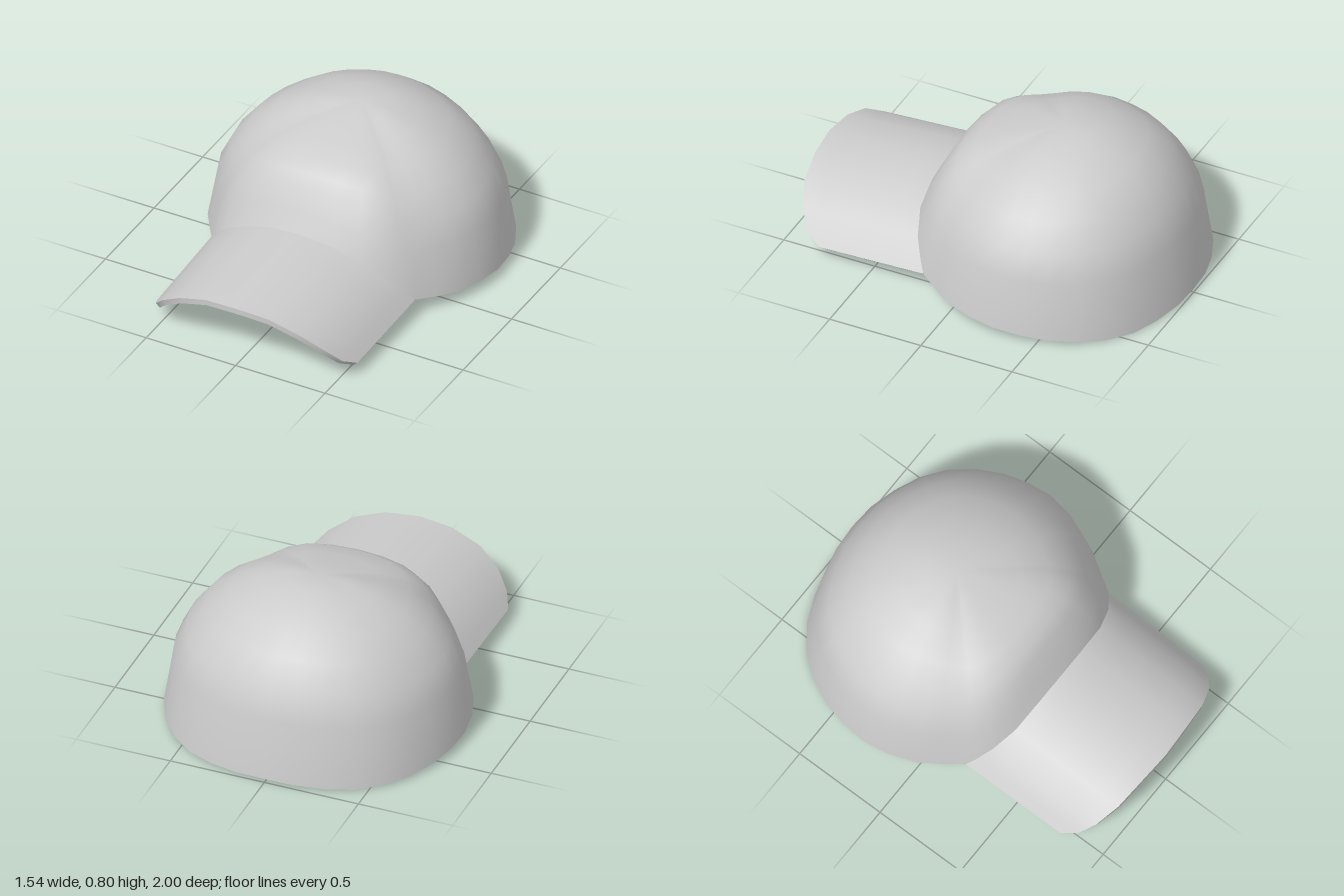
import * as THREE from 'three';
import { mergeVertices, toCreasedNormals } from 'three/addons/utils/BufferGeometryUtils.js';

const CENTRE_Z = -0.3, APEX_Y = 0.798, THICK = 0.03;

// Half of the crown's rim as [x, y, z], from centre front round to centre back.
const RIM = [
  [0, 0.39, 0.35], [0.18, 0.37, 0.345], [0.34, 0.31, 0.33], [0.46, 0.225, 0.285], [0.53, 0.145, 0.235],
  [0.57, 0.095, 0.2], [0.635, 0.075, 0.1], [0.7, 0.065, 0], [0.75, 0.058, -0.14], [0.77, 0.05, -0.28],
  [0.755, 0.037, -0.42], [0.72, 0.025, -0.55], [0.65, 0.013, -0.69], [0.56, 0.005, -0.8], [0.44, 0, -0.89],
  [0.3, 0.005, -0.95], [0.15, 0.015, -0.99], [0, 0.02, -1],
];
const BRIM_COLUMNS = 6; // rim points that carry the brim, on each side
const BRIM_FRONT_Z = [1, 0.988, 0.967, 0.92, 0.86, 0.78];

// Meridians as [radius, height], apex to rim, as fractions of the rim's radius and depth.
const normalise = (points) => {
  const [radius, low] = points[points.length - 1];
  return points.map(([r, y]) => [r / radius, (y - low) / (APEX_Y - low)]);
};
const FRONT = normalise([[0, APEX_Y], [0.15, 0.765], [0.3, 0.727], [0.42, 0.69], [0.49, 0.645], [0.54, 0.59], [0.6, 0.48], [0.65, 0.39]]);
const SIDE = normalise([[0, APEX_Y], [0.155, 0.785], [0.3, 0.75], [0.445, 0.68], [0.565, 0.59], [0.66, 0.47], [0.725, 0.34], [0.77, 0.05]]);
const BACK = normalise([[0, APEX_Y], [0.15, 0.795], [0.26, 0.765], [0.39, 0.707], [0.5, 0.62], [0.59, 0.49], [0.65, 0.34], [0.7, 0.02]]);

// Smooth surface through rows of points; it faces (row direction) x (column direction).
function grid(rows) {
  const cols = rows[0].length, index = [];
  for (let i = 0; i < rows.length - 1; i++) {
    for (let j = 0; j < cols - 1; j++) {
      const a = i * cols + j, b = a + cols, c = b + 1, d = a + 1;
      if (!rows[i][j].equals(rows[i][j + 1])) index.push(a, b, d);
      if (!rows[i + 1][j].equals(rows[i + 1][j + 1])) index.push(b, c, d);
    }
  }
  let geometry = new THREE.BufferGeometry().setFromPoints(rows.flat());
  geometry.setIndex(index);
  geometry = mergeVertices(geometry, 1e-5);
  geometry.computeVertexNormals();
  return geometry;
}

// Rows of the dome from apex to rim; the lining uses a smaller radius and a lower apex.
function domeRows(radiusScale, drop) {
  const mirrored = RIM.slice(1, -1).reverse().map(([x, y, z]) => [-x, y, z]);
  const loop = [...RIM, ...mirrored, RIM[0]];
  return SIDE.map((side, i) => loop.map(([x, y, z]) => {
    const dz = z - CENTRE_Z;
    const weight = dz * dz / (x * x + dz * dz);
    const end = dz > 0 ? FRONT[i] : BACK[i];
    const r = THREE.MathUtils.lerp(side[0], end[0], weight) * radiusScale;
    const h = THREE.MathUtils.lerp(side[1], end[1], weight);
    return new THREE.Vector3(x * r, y + (APEX_Y - drop - y) * h, CENTRE_Z + dz * r);
  }));
}

// Rows of the brim from crown to front edge; offset moves them along the arch's normal.
function brimRows(offset) {
  const half = RIM.slice(0, BRIM_COLUMNS).map(([x, y, z], k) => ({ x, y, z, front: BRIM_FRONT_Z[k] }));
  const columns = [...half.slice(1).reverse().map((p) => ({ ...p, x: -p.x })), ...half];
  const rows = [];
  for (let i = 0; i <= 6; i++) {
    const t = i / 6;
    rows.push(columns.map((p, j) => {
      const a = columns[Math.max(j - 1, 0)], b = columns[Math.min(j + 1, columns.length - 1)];
      const normal = new THREE.Vector2(a.y - b.y, b.x - a.x).normalize();
      const z = THREE.MathUtils.lerp(p.z, p.front, t);
      const slope = 0.077 - 0.03 * Math.abs(p.x) / 0.57;
      return new THREE.Vector3(
        p.x * (1 - 0.015 * t) + normal.x * offset,
        p.y - slope * (z - p.z) + normal.y * offset,
        z,
      );
    }));
  }
  return rows;
}

// Closed outline of the brim: left edge, front, right edge, then back along the crown.
function outline(rows) {
  const last = rows[0].length - 1;
  return [
    ...rows.map((row) => row[0]),
    ...rows[rows.length - 1].slice(1),
    ...rows.slice(0, -1).reverse().map((row) => row[last]),
    ...rows[0].slice(0, -1).reverse(),
  ];
}

export function createModel() {
  const model = new THREE.Group();
  model.name = 'cap';
  const material = new THREE.MeshStandardMaterial({ color: 0xcccccc, side: THREE.DoubleSide });
  const group = (name) => {
    const g = new THREE.Group();
    g.name = name;
    model.add(g);
    return g;
  };
  const add = (parent, name, geometry) => {
    const mesh = new THREE.Mesh(geometry, material);
    mesh.name = name;
    parent.add(mesh);
  };

  // Crown: outer shell, lining and the narrow rim joining them
  const crown = group('crown');
  const outer = domeRows(1, 0), inner = domeRows(0.955, 0.014);
  add(crown, 'crownShell', grid(outer));
  add(crown, 'crownLining', grid([...inner].reverse()));
  add(crown, 'crownRim', grid([outer[outer.length - 1], inner[inner.length - 1]]));

  // Brim: arched top, underside and edge
  const brim = group('brim');
  const top = brimRows(0), bottom = brimRows(-THICK);
  add(brim, 'brimTop', grid(top));
  add(brim, 'brimUnderside', grid([...bottom].reverse()));
  add(brim, 'brimEdge', toCreasedNormals(grid([outline(top), outline(bottom)]), 0.7));

  return model;
}
